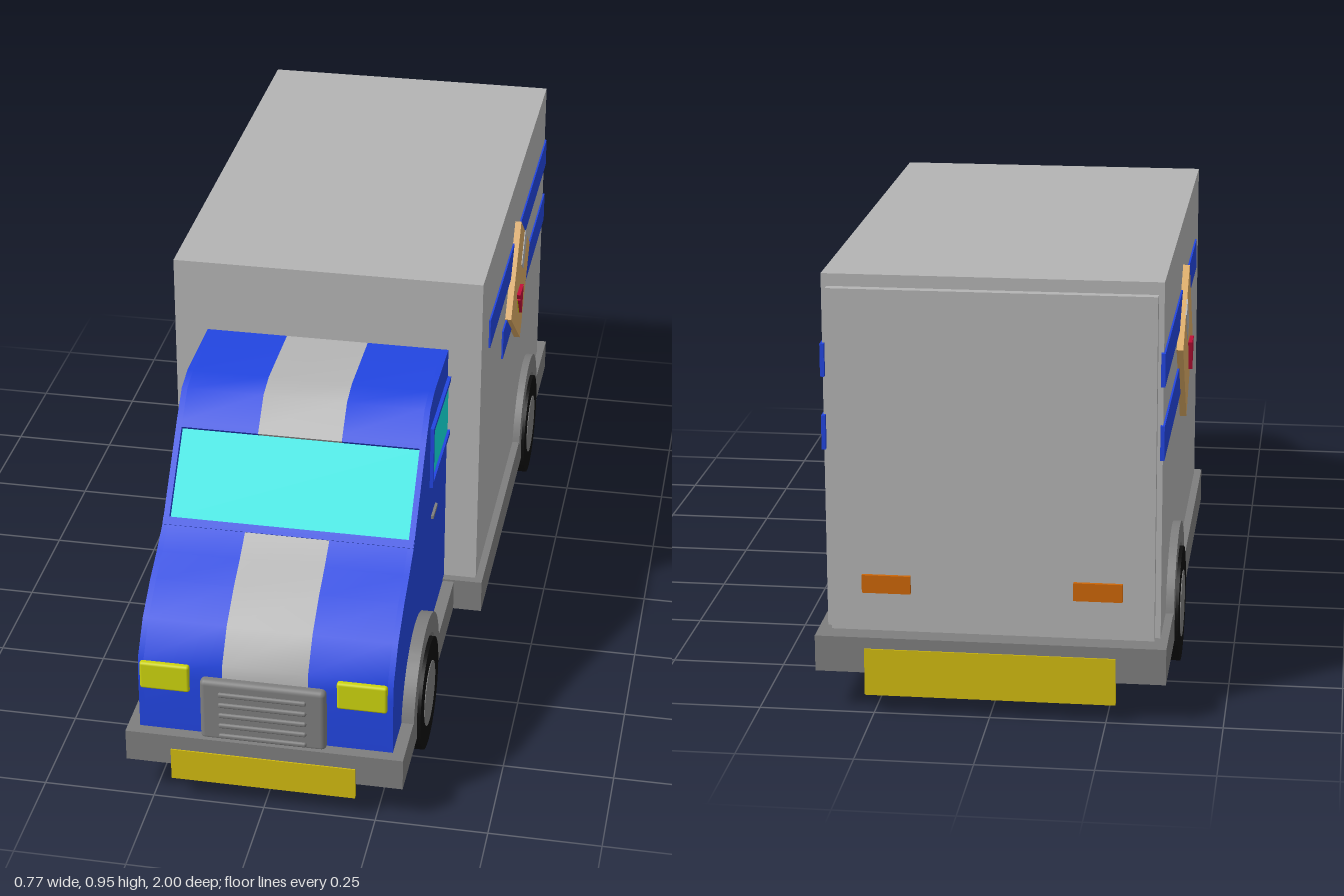
import * as THREE from 'three';
import { toCreasedNormals } from 'three/addons/utils/BufferGeometryUtils.js';
import { RoundedBoxGeometry } from 'three/addons/geometries/RoundedBoxGeometry.js';

function material(name, color) {
  const m = new THREE.MeshStandardMaterial({ color });
  m.name = name;
  return m;
}

export function createModel() {
  const truck = new THREE.Group();
  truck.name = 'deliveryTruck';

  const lightGray = material('lightGray', 0xb4b4b4);
  const darkGray = material('darkGray', 0x7e7e7e);
  const blue = material('blue', 0x2245e0);
  const glass = material('cyanGlass', 0x10e4e0);
  const black = material('tyreBlack', 0x0e0e0e);
  const cardboard = material('cardboard', 0xdcab66);
  const lampYellow = material('lampYellow', 0xcdd40e);
  const gold = material('bumperYellow', 0xd2bb10);
  const orange = material('orange', 0xcc6608);
  const red = material('red', 0xc01038);

  function add(name, geometry, mat, x = 0, y = 0, z = 0, parent = truck) {
    const mesh = new THREE.Mesh(geometry, mat);
    mesh.name = name;
    mesh.position.set(x, y, z);
    parent.add(mesh);
    return mesh;
  }

  // Box given by its limits on each axis
  function block(name, mat, [x0, x1], [y0, y1], [z0, z1], parent = truck) {
    const geometry = new THREE.BoxGeometry(Math.abs(x1 - x0), y1 - y0, z1 - z0);
    return add(name, geometry, mat, (x0 + x1) / 2, (y0 + y1) / 2, (z0 + z1) / 2, parent);
  }

  // Extrudes a (z, y) outline across x, centred on x = 0
  function sideExtrude(shape, width, crease = 0.6) {
    const geometry = new THREE.ExtrudeGeometry(shape, { depth: width, bevelEnabled: false, curveSegments: 24 });
    geometry.translate(0, 0, -width / 2);
    geometry.rotateY(-Math.PI / 2);
    return toCreasedNormals(geometry, crease);
  }
  const outline = (points) => new THREE.Shape(points.map(([z, y]) => new THREE.Vector2(z, y)));

  // Chassis and cargo box
  block('frontChassis', darkGray, [-0.31, 0.31], [0.09, 0.165], [0.26, 0.997]);
  block('rearChassis', darkGray, [-0.377, 0.377], [0.09, 0.17], [-0.997, 0.265]);
  block('cargoBox', lightGray, [-0.36, 0.36], [0.165, 0.952], [-0.93, 0.245]);
  block('rearDoor', lightGray, [-0.348, 0.348], [0.17, 0.925], [-0.95, -0.93]);
  block('frontPlate', gold, [-0.208, 0.205], [0.053, 0.13], [0.985, 1]);
  block('rearPlate', gold, [-0.27, 0.27], [0.04, 0.145], [-1, -0.98]);

  // Cab slices: the inner ones have a recess for the windscreen
  const top = [[0.245, 0.165], [0.245, 0.78], [0.447, 0.78], [0.505, 0.765], [0.56, 0.71]];
  const recess = [[0.569, 0.7], [0.554, 0.687], [0.69, 0.532], [0.705, 0.545]];
  const bonnet = [[0.714, 0.535], [0.775, 0.497], [0.837, 0.465], [0.912, 0.412], [0.965, 0.342], [0.97, 0.3], [0.97, 0.165]];
  const fullCab = outline([...top, ...bonnet]);
  const notchedCab = outline([...top, ...recess, ...bonnet]);
  add('cabCentreStripe', sideExtrude(notchedCab, 0.19), lightGray);
  for (const s of [-1, 1]) {
    add('cabBody', sideExtrude(notchedCab, 0.175), blue, s * 0.1825);
    add('cabSide', sideExtrude(fullCab, 0.013), blue, s * 0.2765);
  }
  const tilt = -0.72;
  add('windscreen', new THREE.BoxGeometry(0.54, 0.204, 0.006), glass, 0, 0.612, 0.624).rotation.x = tilt;
  add('windscreenSill', new THREE.BoxGeometry(0.565, 0.018, 0.008), blue, 0, 0.539, 0.711).rotation.x = tilt;

  // Grille with slots
  add('grille', new RoundedBoxGeometry(0.28, 0.155, 0.05, 3, 0.012), darkGray, -0.003, 0.235, 0.962);
  for (let i = 0; i < 5; i++) {
    add('grilleSlat', new RoundedBoxGeometry(0.196, 0.012, 0.012, 2, 0.005), darkGray, -0.003, 0.173 + i * 0.027, 0.986);
  }

  // Half ring wheel arch
  const arch = new THREE.Shape();
  arch.absarc(0, 0, 0.182, 0.19, Math.PI - 0.19, false);
  arch.absarc(0, 0, 0.135, Math.PI - 0.26, 0.26, true);

  function wheel(s, x, z, archX, archWidth) {
    const group = new THREE.Group();
    group.name = z > 0 ? 'frontWheel' : 'rearWheel';
    group.position.set(s * x, 0.129, z);
    truck.add(group);
    const tyre = new THREE.CylinderGeometry(0.129, 0.129, 0.05, 40).rotateZ(Math.PI / 2);
    const hub = new THREE.CylinderGeometry(0.075, 0.075, 0.053, 32).rotateZ(Math.PI / 2);
    add('tyre', tyre, black, 0, 0, 0, group);
    add('hub', hub, darkGray, 0, 0, 0, group);
    add('wheelArch', sideExtrude(arch, archWidth), darkGray, s * archX, 0.132, z);
  }

  // Parcel emblem, built in its own tilted frame
  function parcel(s) {
    const group = new THREE.Group();
    group.name = 'parcel';
    group.position.set(s * 0.367, 0.674, -0.353);
    group.rotation.x = -0.648;
    truck.add(group);
    add('parcelBox', new THREE.BoxGeometry(0.016, 0.246, 0.246), cardboard, 0, 0, 0, group);
    add('parcelTape', new THREE.BoxGeometry(0.004, 0.088, 0.046), lightGray, s * 0.008, 0.079, 0, group);
  }

  const sign = outline([[-0.282, 0.668], [-0.346, 0.668], [-0.325, 0.599]]);
  const signFace = outline([[-0.285, 0.652], [-0.345, 0.668], [-0.324, 0.599]]);
  const signHole = new THREE.Path([[-0.301, 0.65], [-0.336, 0.658], [-0.325, 0.619]].map(([z, y]) => new THREE.Vector2(z, y)));
  sign.setFromPoints(signFace.getPoints());
  sign.holes.push(signHole);

  for (const s of [-1, 1]) {
    wheel(s, 0.293, 0.68, 0.294, 0.034);
    wheel(s, 0.36, -0.6, 0.363, 0.03);

    // Stripes on the cargo box
    block('upperStripe', blue, [s * 0.355, s * 0.364], [0.73, 0.802], [-0.94, 0.125]);
    block('lowerStripe', blue, [s * 0.355, s * 0.364], [0.57, 0.645], [-0.94, -0.125]);

    // Parcel with a warning triangle
    parcel(s);
    add('warningBorder', sideExtrude(sign, 0.01), red, s * 0.379);
    add('warningFace', sideExtrude(signFace, 0.003), lampYellow, s * 0.376);

    // Side window, frame and door handle
    block('sideWindow', glass, [s * 0.28, s * 0.285], [0.568, 0.705], [0.246, 0.49]);
    block('windowFrameTop', blue, [s * 0.28, s * 0.291], [0.702, 0.712], [0.246, 0.498]);
    block('windowFrameBottom', blue, [s * 0.28, s * 0.291], [0.56, 0.571], [0.246, 0.498]);
    block('windowFrameFront', blue, [s * 0.28, s * 0.291], [0.56, 0.712], [0.488, 0.498]);
    block('doorHandle', darkGray, [s * 0.28, s * 0.289], [0.461, 0.469], [0.41, 0.47]);

    // Lamps
    add('headlight', new RoundedBoxGeometry(0.111, 0.067, 0.03, 2, 0.006), lampYellow, s * 0.219 - 0.004, 0.303, 0.963);
    block('tailLight', orange, [s * 0.175, s * 0.28], [0.257, 0.297], [-0.958, -0.945]);
  }
  return truck;
}
